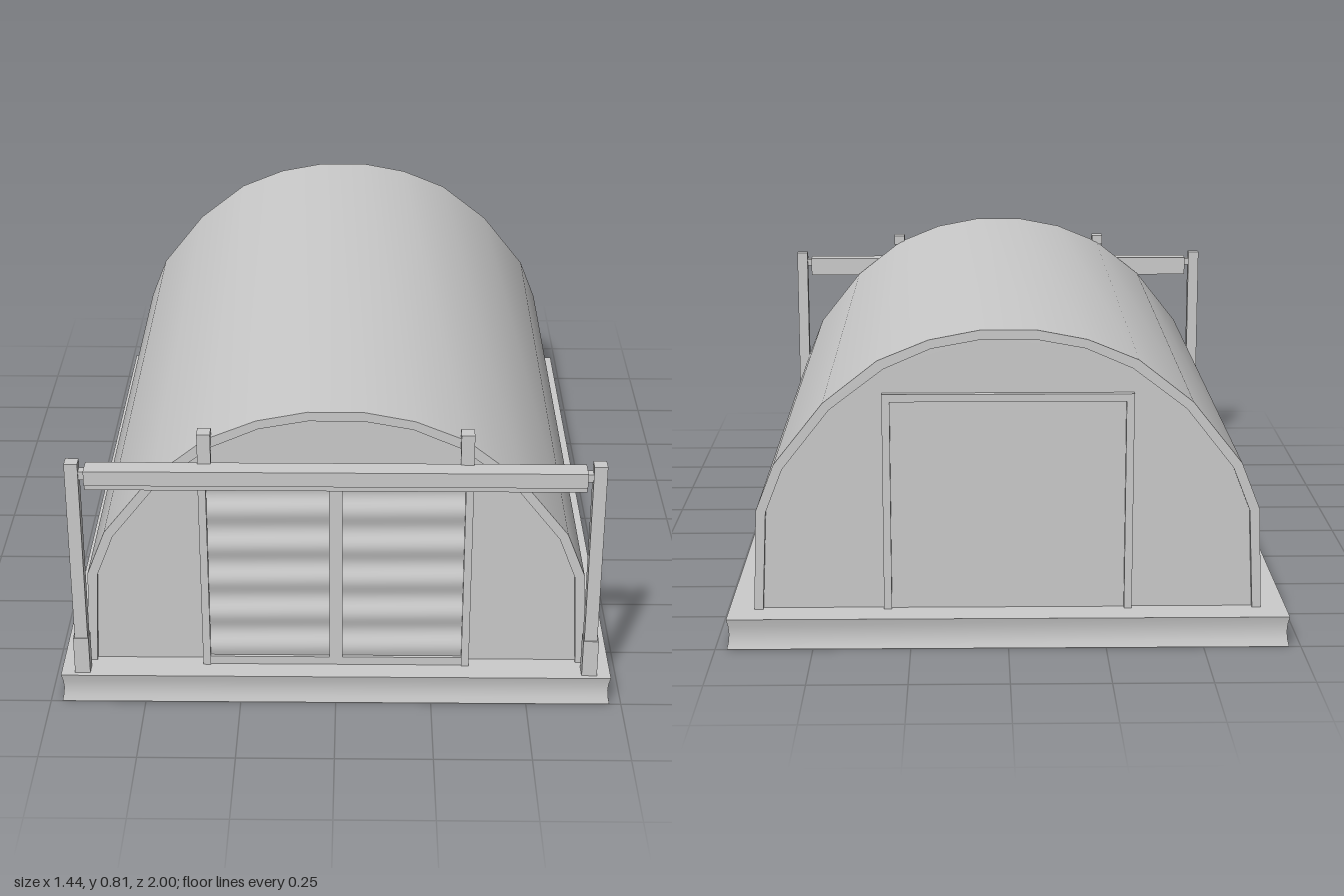
import * as THREE from 'three';
import { toCreasedNormals } from 'three/addons/utils/BufferGeometryUtils.js';

const material = new THREE.MeshStandardMaterial({ color: 0xcccccc });
const BASE = 0.08;

// Right half of the arch, outside and inside, from the slab to the crown
const OUTER = [[0.655, BASE], [0.645, 0.345], [0.597, 0.467], [0.47, 0.627], [0.33, 0.737], [0.2, 0.79], [0.07, 0.815]];
const INNER = [[0.632, BASE], [0.62, 0.34], [0.575, 0.455], [0.453, 0.61], [0.315, 0.715], [0.195, 0.767], [0.07, 0.79]];

// Full arch from right foot to left foot
const fullArch = (half) => [...half, ...half.map(([x, y]) => [-x, y]).reverse()];
const toShape = (points) => new THREE.Shape(points.map(([x, y]) => new THREE.Vector2(x, y)));

function extrude(shape, z0, z1) {
  const geometry = new THREE.ExtrudeGeometry(shape, { depth: z1 - z0, bevelEnabled: false });
  geometry.translate(0, 0, z0);
  return toCreasedNormals(geometry, 0.75);
}

export function createModel() {
  const model = new THREE.Group();

  const add = (name, geometry, parent = model) => {
    const mesh = new THREE.Mesh(geometry, material);
    mesh.name = name;
    parent.add(mesh);
    return mesh;
  };
  // Box given by its limits on each axis
  const box = (name, x0, x1, y0, y1, z0, z1, parent) => {
    const geometry = new THREE.BoxGeometry(x1 - x0, y1 - y0, z1 - z0);
    geometry.translate((x0 + x1) / 2, (y0 + y1) / 2, (z0 + z1) / 2);
    return add(name, geometry, parent);
  };
  const group = (name) => {
    const g = new THREE.Group();
    g.name = name;
    model.add(g);
    return g;
  };

  // Foundation slab with slightly hollow sides
  let slab = new THREE.BoxGeometry(1.44, BASE, 2, 1, 4, 1);
  const p = slab.attributes.position;
  for (let i = 0; i < p.count; i++) {
    const inset = 0.006 * (1 - (p.getY(i) / (BASE / 2)) ** 2);
    p.setX(i, p.getX(i) - Math.sign(p.getX(i)) * inset);
    p.setZ(i, p.getZ(i) - Math.sign(p.getZ(i)) * inset);
  }
  slab.translate(0, BASE / 2, 0);
  slab = toCreasedNormals(slab, 0.75);
  add('foundationSlab', slab);

  // Vaulted shell and the two end walls set just inside it
  add('vaultedShell', extrude(toShape([...fullArch(OUTER), ...fullArch(INNER).reverse()]), -0.922, 0.925));
  add('frontWall', extrude(toShape(fullArch(INNER)), 0.893, 0.91));
  add('backWall', extrude(toShape(fullArch(INNER)), -0.907, -0.89));

  // Back doorway: panel with a raised frame
  const back = group('backDoor');
  box('backDoorPanel', -0.3, 0.3, BASE, 0.63, -0.91, -0.9, back);
  box('backDoorLintel', -0.32, 0.32, 0.63, 0.65, -0.924, -0.9, back);
  for (const s of [-1, 1]) {
    box('backDoorJamb', s * 0.31 - 0.01, s * 0.31 + 0.01, BASE, 0.63, -0.924, -0.9, back);
  }

  // Front doors: two framed leaves with rippled infill
  const front = group('frontDoors');
  box('doorBacking', -0.33, 0.33, BASE, 0.64, 0.905, 0.92, front);
  box('doorHead', -0.33, 0.33, 0.61, 0.64, 0.91, 0.94, front);
  box('doorSill', -0.33, 0.33, BASE, 0.103, 0.91, 0.94, front);
  box('doorMullion', -0.017, 0.017, 0.103, 0.61, 0.91, 0.94, front);
  for (const s of [-1, 1]) {
    const ripple = new THREE.PlaneGeometry(0.313, 0.507, 1, 50);
    const q = ripple.attributes.position;
    for (let i = 0; i < q.count; i++) {
      q.setZ(i, 0.005 * Math.sin(((q.getY(i) + 0.2535) / 0.507) * Math.PI * 10));
    }
    ripple.computeVertexNormals();
    ripple.translate(s * 0.1735, 0.3565, 0.931);
    add('rippledDoorLeaf', ripple, front);
  }

  // Door posts rising past the rail, capped with brackets hooked over the arch
  for (const s of [-1, 1]) {
    box('doorPost', s * 0.34 - 0.01, s * 0.34 + 0.01, BASE, 0.64, 0.91, 0.944, front);
    box('postHead', s * 0.332 - 0.017, s * 0.332 + 0.017, 0.62, 0.76, 0.925, 0.944, front);
    box('archHook', s * 0.332 - 0.017, s * 0.332 + 0.017, 0.73, 0.76, 0.905, 0.944, front);
  }

  // Sliding rail carried by an outer post at each end
  const rail = group('doorRail');
  box('railBeam', -0.632, 0.632, 0.638, 0.678, 0.937, 0.99, rail);
  box('railLowerTrack', -0.632, 0.632, 0.62, 0.638, 0.942, 0.978, rail);
  for (const s of [-1, 1]) {
    box('railPin', s * 0.64 - 0.012, s * 0.64 + 0.012, 0.65, 0.672, 0.957, 0.98, rail);
    box('railPost', s * 0.663 - 0.017, s * 0.663 + 0.017, BASE, 0.695, 0.95, 0.984, rail);
    box('postFoot', s * 0.664 - 0.02, s * 0.664 + 0.02, BASE, 0.185, 0.947, 0.987, rail);
  }

  return model;
}
